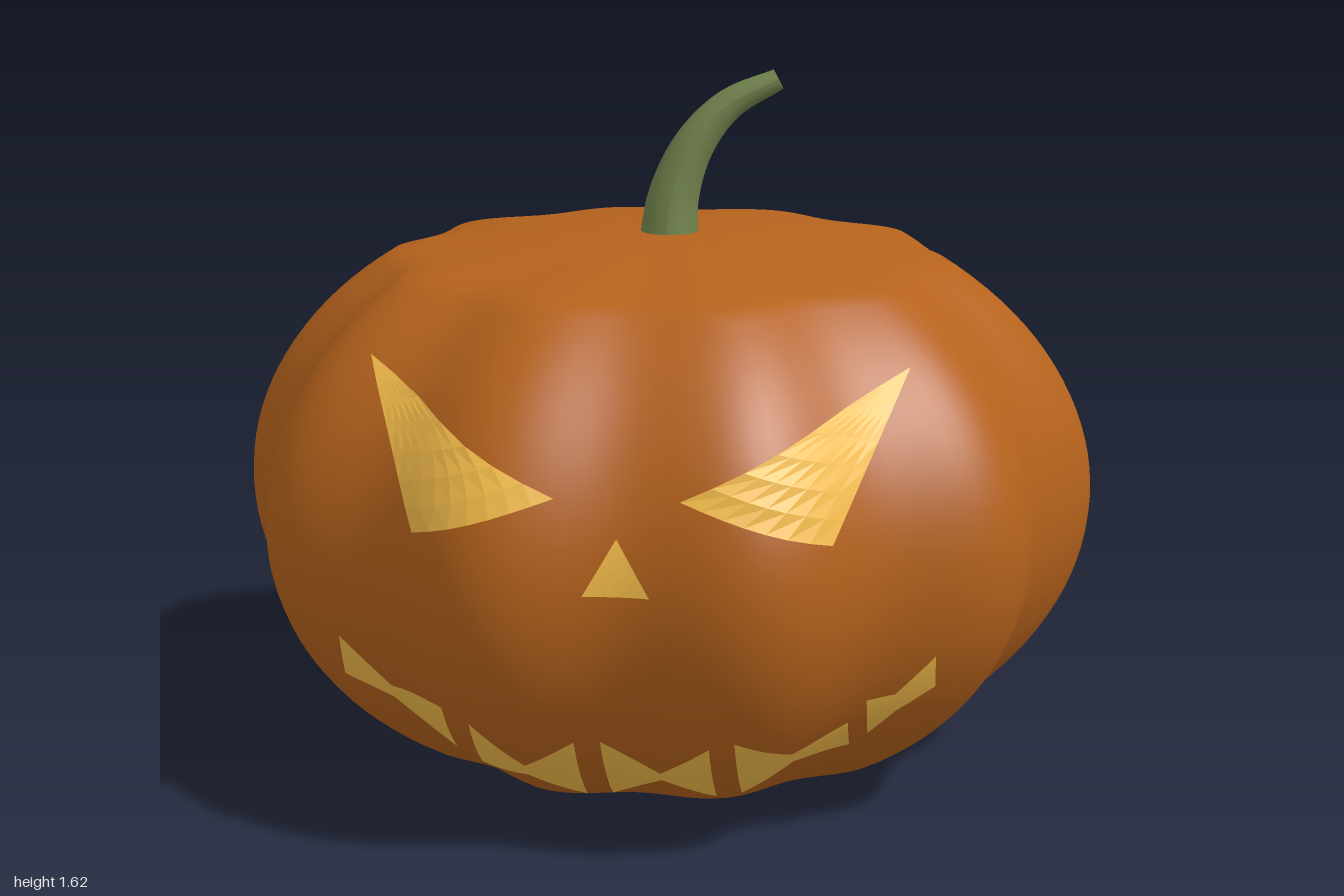
import * as THREE from 'three';
import { mergeVertices, mergeGeometries } from 'three/addons/utils/BufferGeometryUtils.js';

const MID = 0.64, HALF = 0.72, LOW = 0.075, HIGH = 1.19;

// Radius of the shell at a height, and its ten ribs around the axis
const radiusAt = y => Math.sqrt(1 - ((y - MID) / HALF) ** 2);
const ribAt = angle => 0.965 + 0.035 * Math.cos(10 * angle);

function bodyGeometry() {
  const profile = [], rLow = radiusAt(LOW), rHigh = radiusAt(HIGH);
  const capSteps = 10, sideSteps = 36;
  // shallow domed underside
  for (let i = 0; i < capSteps; i++) {
    const t = i / capSteps;
    profile.push(new THREE.Vector2(rLow * t, LOW * t * t));
  }
  // rounded side
  const a0 = Math.asin((LOW - MID) / HALF), a1 = Math.asin((HIGH - MID) / HALF);
  for (let i = 0; i <= sideSteps; i++) {
    const a = a0 + (a1 - a0) * i / sideSteps;
    profile.push(new THREE.Vector2(Math.cos(a), MID + HALF * Math.sin(a)));
  }
  // shallow domed top
  for (let i = capSteps - 1; i >= 0; i--) {
    const t = i / capSteps;
    profile.push(new THREE.Vector2(rHigh * t, 1.245 - (1.245 - HIGH) * t * t));
  }
  let geo = new THREE.LatheGeometry(profile, 160);
  const p = geo.attributes.position;
  for (let i = 0; i < p.count; i++) {
    const x = p.getX(i), z = p.getZ(i), s = ribAt(Math.atan2(z, x));
    p.setXYZ(i, x * s, p.getY(i), z * s);
  }
  geo.deleteAttribute('uv');
  geo.deleteAttribute('normal');
  geo = mergeVertices(geo, 1e-5);
  geo.computeVertexNormals();
  return geo;
}

// Depth of the front shell at (x, y), raised slightly
function frontDepth(x, y) {
  let z = 0.7;
  for (let i = 0; i < 12; i++) {
    const r = radiusAt(y) * ribAt(Math.atan2(z, x)) + 0.016;
    z = 0.5 * (z + Math.sqrt(Math.max(0.01, r * r - x * x)));
  }
  return z;
}

// Four-cornered patch (counter-clockwise) laid over the front shell
function patch([a, b, c, d], n = 7) {
  const geo = new THREE.PlaneGeometry(1, 1, n, n);
  const p = geo.attributes.position;
  const mix = (k, u, v) =>
    (a[k] * (1 - u) + b[k] * u) * (1 - v) + (d[k] * (1 - u) + c[k] * u) * v;
  for (let i = 0; i < p.count; i++) {
    const u = p.getX(i) + 0.5, v = p.getY(i) + 0.5;
    const x = mix(0, u, v), y = mix(1, u, v);
    p.setXYZ(i, x, y, frontDepth(x, y));
  }
  geo.computeVertexNormals();
  return geo;
}

// Tapered cylinder bent along a curve
function stemGeometry() {
  const curve = new THREE.CatmullRomCurve3([
    [0.005, 1.21, 0], [0.015, 1.32, -0.005], [0.06, 1.44, -0.015],
    [0.14, 1.535, -0.03], [0.255, 1.595, -0.04],
  ].map(q => new THREE.Vector3(...q)));
  const geo = new THREE.CylinderGeometry(0.025, 0.07, 1, 24, 20);
  const p = geo.attributes.position, up = new THREE.Vector3(0, 1, 0);
  const v = new THREE.Vector3(), turn = new THREE.Quaternion();
  for (let i = 0; i < p.count; i++) {
    const t = THREE.MathUtils.clamp(p.getY(i) + 0.5, 0, 1);
    turn.setFromUnitVectors(up, curve.getTangentAt(t));
    v.set(p.getX(i), 0, p.getZ(i)).applyQuaternion(turn).add(curve.getPointAt(t));
    p.setXYZ(i, v.x, v.y, v.z);
  }
  geo.computeVertexNormals();
  return geo;
}

export function createModel() {
  const group = new THREE.Group();
  const skin = new THREE.MeshStandardMaterial({ color: 0xb5621c });
  const green = new THREE.MeshStandardMaterial({ color: 0x71824c });
  const glow = new THREE.MeshStandardMaterial({
    color: 0xf4bc4a, flatShading: true, side: THREE.DoubleSide,
  });
  const add = (name, geo, mat) => {
    const mesh = new THREE.Mesh(geo, mat);
    mesh.name = name;
    group.add(mesh);
  };

  add('body', bodyGeometry(), skin);
  add('stem', stemGeometry(), green);

  // Slanted eyes, mirrored
  for (const [name, s] of [['leftEye', 1], ['rightEye', -1]]) {
    const inner = [0.13 * s, 0.85], low = [0.44 * s, 0.75], outer = [0.585 * s, 1.06];
    add(name, patch(s > 0 ? [inner, low, outer, outer] : [low, inner, outer, outer]), glow);
  }

  add('nose', patch([[-0.07, 0.65], [0.07, 0.65], [0, 0.77], [0, 0.77]]), glow);

  // Jagged mouth: each piece is [x, bottom, top] at its left, pinch and right
  const pieces = [
    [[-0.645, 0.35, 0.455], [-0.53, 0.31, 0.345], [-0.395, 0.19, 0.345]],
    [[-0.33, 0.18, 0.325], [-0.22, 0.175, 0.21], [-0.105, 0.09, 0.29]],
    [[-0.05, 0.09, 0.29], [0.07, 0.165, 0.19], [0.185, 0.11, 0.29]],
    [[0.24, 0.12, 0.31], [0.355, 0.22, 0.25], [0.47, 0.225, 0.305]],
    [[0.51, 0.255, 0.36], [0.57, 0.315, 0.365], [0.655, 0.375, 0.455]],
  ];
  const halves = pieces.flatMap(piece => [0, 1].map(i => {
    const [l, r] = [piece[i], piece[i + 1]];
    return patch([[l[0], l[1]], [r[0], r[1]], [r[0], r[2]], [l[0], l[2]]], 5);
  }));
  add('mouth', mergeGeometries(halves), glow);

  return group;
}
